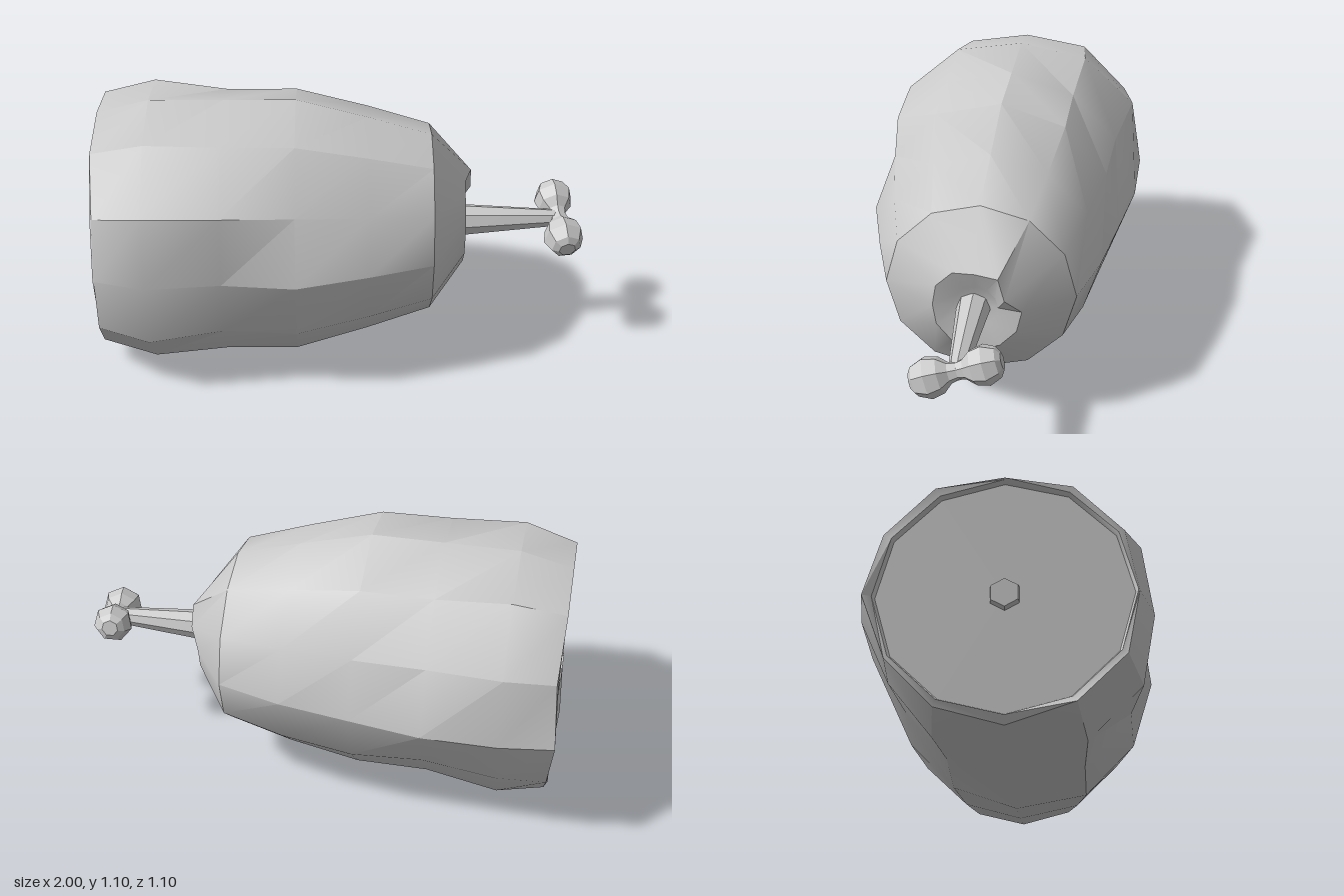
import * as THREE from 'three';
import { toCreasedNormals } from 'three/addons/utils/BufferGeometryUtils.js';

const material = new THREE.MeshStandardMaterial({ color: 0xcccccc });
const CY = 0.555; // height of the long axis

// Skin a list of rings running along +x; ring = { x, r, n, y, z } where
// x and r may be a number or a list with one value per corner.
function loft(rings, sides, crease) {
  const pick = (v, k) => (Array.isArray(v) ? v[k % sides] : v);
  const point = (ring, k) => {
    const a = ((k % sides) / sides) * Math.PI * 2;
    const r = pick(ring.r, k);
    return [pick(ring.x, k), (ring.y ?? 0) + r * Math.cos(a), (ring.z ?? 0) + r * Math.sin(a)];
  };
  const pos = [];
  for (let i = 0; i < rings.length - 1; i++) {
    for (let k = 0; k < sides; k++) {
      const a = point(rings[i], k), b = point(rings[i], k + 1);
      const c = point(rings[i + 1], k), d = point(rings[i + 1], k + 1);
      if (rings[i].r !== 0) pos.push(...a, ...b, ...c);
      if (rings[i + 1].r !== 0) pos.push(...b, ...d, ...c);
    }
  }
  const g = new THREE.BufferGeometry();
  g.setAttribute('position', new THREE.Float32BufferAttribute(pos, 3));
  return toCreasedNormals(g, crease);
}

function add(group, name, geometry) {
  const mesh = new THREE.Mesh(geometry, material);
  mesh.name = name;
  group.add(mesh);
  return mesh;
}

export function createModel() {
  const model = new THREE.Group();
  model.name = 'hamOnTheBone';

  // Meat: corners run from the top through +z, bottom and -z
  const meat = add(model, 'meat', loft([
    { x: -0.965, r: 0 },
    { x: -0.965, r: 0.475 },
    { x: -0.985, r: 0.485 },
    { x: [-0.99, -0.99, -0.975, -0.98, -0.985, -1, -0.96, -0.97, -0.98, -1, -0.98, -0.99],
      r: [0.49, 0.51, 0.51, 0.49, 0.51, 0.515, 0.515, 0.51, 0.5, 0.52, 0.52, 0.52] },
    { x: -0.78, r: [0.545, 0.57, 0.585, 0.548, 0.575, 0.58, 0.555, 0.55, 0.51, 0.55, 0.58, 0.57] },
    { x: -0.48, r: [0.545, 0.555, 0.58, 0.52, 0.525, 0.55, 0.515, 0.5, 0.475, 0.55, 0.525, 0.53] },
    { x: -0.19, r: [0.545, 0.55, 0.525, 0.548, 0.54, 0.55, 0.527, 0.5, 0.49, 0.505, 0.51, 0.53] },
    { x: 0.1, r: [0.465, 0.467, 0.46, 0.468, 0.465, 0.468, 0.457, 0.45, 0.45, 0.458, 0.455, 0.46] },
    { x: 0.36, r: 0.385 },
    // torn lip and hollow around the bone
    { x: [0.505, 0.5, 0.5, 0.5, 0.5, 0.5, 0.5, 0.5, 0.5, 0.5, 0.54, 0.535],
      r: [0.16, 0.18, 0.18, 0.17, 0.18, 0.19, 0.195, 0.195, 0.19, 0.185, 0.14, 0.19] },
    { x: 0.485, r: 0.09 },
    { x: 0.46, r: 0 },
  ], 12, 0.51));
  meat.position.y = CY;

  // Cut end of the bone in the back face
  const marrow = add(model, 'boneEnd', loft([
    { x: -0.99, r: 0 },
    { x: -0.99, r: 0.058 },
    { x: -0.95, r: 0.065 },
  ], 6, 0.4));
  marrow.position.y = CY;

  // Tapered shank
  add(model, 'boneShaft', loft([
    { x: 0.44, r: 0.07, y: 0.54, z: 0.01 },
    { x: 0.5, r: 0.066, y: 0.54, z: 0.01 },
    { x: 0.86, r: 0.038, y: 0.543, z: 0.003 },
    { x: 0.92, r: 0.03, y: 0.545 },
    { x: 0.92, r: 0, y: 0.545 },
  ], 8, 0.5));

  // Two knuckles: one turned half profile, placed towards each side
  const profile = [[-0.025, 0.03], [0.03, 0.042], [0.065, 0.072], [0.115, 0.084], [0.165, 0.062], [0.182, 0.035], [0.182, 0]];
  for (const side of [1, -1]) {
    const knuckle = add(model, side > 0 ? 'frontKnuckle' : 'backKnuckle',
      loft(profile.map(([x, r]) => ({ x, r })), 7, 0.2));
    knuckle.position.set(0.9, 0.547, 0.002);
    // lean the front one outwards along the bone
    const tilt = side > 0 ? 0.12 : -0.1;
    knuckle.rotation.set(0.3, -side * Math.PI / 2 + side * tilt, 0);
    if (side < 0) knuckle.scale.setScalar(0.97);
  }
  return model;
}
